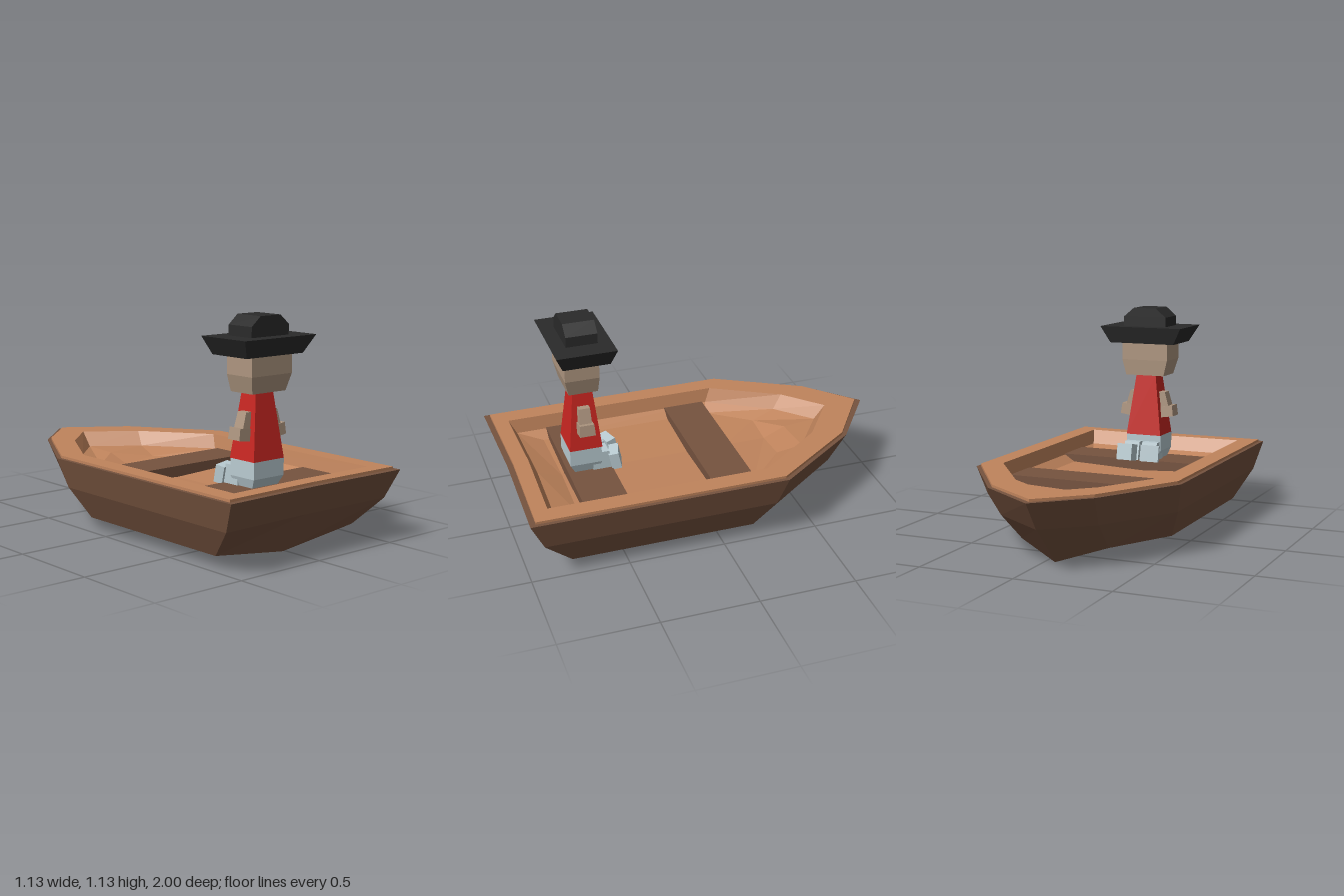
import * as THREE from 'three';

const mat = (color) => new THREE.MeshStandardMaterial({ color, flatShading: true });
const hullMat = mat(0x76533f), woodMat = mat(0xc0845c), skinMat = mat(0xae9680);
const shirtMat = mat(0xc82621), trouserMat = mat(0xbaccd2), hatMat = mat(0x2a2a2a);

// Faceted skin over equal-length rings (counter-clockwise from above, listed bottom to top)
function loft(rings, caps = true) {
  const pos = [];
  const tri = (a, b, c) => pos.push(...a, ...b, ...c);
  const n = rings[0].length;
  for (let i = 0; i + 1 < rings.length; i++) {
    const lo = rings[i], hi = rings[i + 1];
    for (let j = 0; j < n; j++) {
      const k = (j + 1) % n;
      tri(lo[j], lo[k], hi[k]);
      tri(lo[j], hi[k], hi[j]);
    }
  }
  if (caps) {
    const b = rings[0], t = rings[rings.length - 1];
    for (let j = 1; j + 1 < n; j++) {
      tri(b[0], b[j + 1], b[j]);
      tri(t[0], t[j], t[j + 1]);
    }
  }
  const g = new THREE.BufferGeometry();
  g.setAttribute('position', new THREE.Float32BufferAttribute(pos, 3));
  g.computeVertexNormals();
  return g;
}

const rect = (y, x0, x1, z0, z1) => [[x1, y, z1], [x1, y, z0], [x0, y, z0], [x0, y, z1]];

// Boat outline: half width, stern z, side break z, shoulders (left x, right x, z), bow z
function outline(y, w, stern, brk, sl, sr, sz, bow, bowX = -0.06) {
  return [[w, y, stern], [w, y, brk], [sl, y, sz], [bowX, y, bow],
    [sr, y, sz], [-w, y, brk], [-w, y, stern], [-0.01, y, stern - 0.012]];
}

export function createModel() {
  const root = new THREE.Group();
  const add = (parent, name, geo, material) => {
    const m = new THREE.Mesh(geo, material);
    m.name = name;
    parent.add(m);
    return m;
  };

  // Boat
  const boat = new THREE.Group();
  boat.name = 'boat';
  root.add(boat);

  const keel = [0.77, -0.17, -0.52, -0.66, -0.52, -0.17, 0.77, 0.77].map((z) => [z > 0 ? -0.02 : -0.05, 0, z]);
  const chine = outline(0.06, 0.46, 0.782, -0.17, 0.2, -0.27, -0.52, -0.66, -0.05);
  chine[3][1] = chine[7][1] = 0;
  const ledge = [0.545, 0.97, -0.31, 0.24, -0.3, -0.75, -0.965, -0.07];
  add(boat, 'hull', loft([
    keel, chine,
    outline(0.21, 0.53, 0.93, -0.27, 0.23, -0.29, -0.68, -0.88),
    outline(0.36, 0.565, 1, -0.32, 0.25, -0.31, -0.77, -1, -0.07),
    outline(0.36, ...ledge),
  ], false), hullMat);

  // Rim, short inner wall and shallow dished floor
  const floorMid = [0.72, -0.2, -0.42, -0.42, -0.42, -0.2, 0.72, 0.72].map((z) => [-0.04, 0.245, z]);
  const floor = outline(0.262, 0.375, 0.72, -0.2, 0.15, -0.21, -0.42, -0.54, -0.05);
  floor[3][1] = 0.29;
  floor[7][1] = 0.25;
  add(boat, 'rimAndInterior', loft([
    outline(0.36, ...ledge),
    outline(0.373, ...ledge),
    outline(0.373, 0.447, 0.89, -0.25, 0.19, -0.25, -0.6, -0.78),
    outline(0.298, 0.432, 0.85, -0.22, 0.175, -0.235, -0.55, -0.72),
    floor, floorMid,
  ], false), woodMat);

  for (const [name, z0, z1] of [['rearBench', -0.2, 0.02], ['frontBench', 0.46, 0.69]]) {
    add(boat, name, loft([rect(0.245, -0.432, 0.432, z0, z1), rect(0.303, -0.434, 0.434, z0, z1)]), hullMat);
  }

  // Seated rower, facing the bow
  const rower = new THREE.Group();
  rower.name = 'rower';
  rower.position.x = -0.025;
  root.add(rower);

  add(rower, 'hips', loft([rect(0.303, -0.085, 0.085, 0.53, 0.655), rect(0.35, -0.1, 0.1, 0.515, 0.68),
    rect(0.435, -0.1, 0.1, 0.515, 0.68)]), trouserMat);
  add(rower, 'shirt', loft([rect(0.435, -0.1, 0.1, 0.51, 0.68), rect(0.765, -0.057, 0.057, 0.545, 0.643)]), shirtMat);
  add(rower, 'head', loft([rect(0.765, -0.11, 0.11, 0.525, 0.675), rect(0.85, -0.132, 0.132, 0.52, 0.695),
    rect(0.95, -0.132, 0.132, 0.52, 0.695)]), skinMat);
  add(rower, 'hatBrim', loft([rect(0.945, -0.185, 0.185, 0.475, 0.715), rect(1.035, -0.234, 0.234, 0.45, 0.755)]), hatMat);
  add(rower, 'hatCrown', loft([rect(1.035, -0.122, 0.122, 0.52, 0.68), rect(1.087, -0.122, 0.122, 0.52, 0.68),
    rect(1.135, -0.065, 0.065, 0.52, 0.68)]), hatMat);

  for (const s of [-1, 1]) {
    const side = s > 0 ? 'left' : 'right';
    const span = (y, a, b, z0, z1) => rect(y, Math.min(s * a, s * b), Math.max(s * a, s * b), z0, z1);

    // Arm, and hand with its outer edge dropped
    add(rower, side + 'Arm', loft([span(0.585, 0.08, 0.128, 0.565, 0.63), span(0.672, 0.06, 0.103, 0.568, 0.626)]), skinMat);
    const hand = [span(0.535, 0.08, 0.156, 0.556, 0.637), span(0.595, 0.08, 0.148, 0.56, 0.635)];
    for (const p of hand.flat()) p[1] += (Math.abs(p[0]) - 0.11) * 0.14;
    add(rower, side + 'Hand', loft(hand), skinMat);

    // Leg and splayed upright foot
    add(rower, side + 'Leg', loft([span(0.303, 0.008, 0.095, 0.45, 0.56), span(0.4, 0.008, 0.095, 0.475, 0.56)]), trouserMat);
    const foot = add(rower, side + 'Foot', new THREE.BoxGeometry(0.1, 0.09, 0.05), trouserMat);
    foot.position.set(s * 0.068, 0.346, 0.437);
    foot.rotation.set(0.2, -s * 0.25, 0);
  }
  return root;
}
